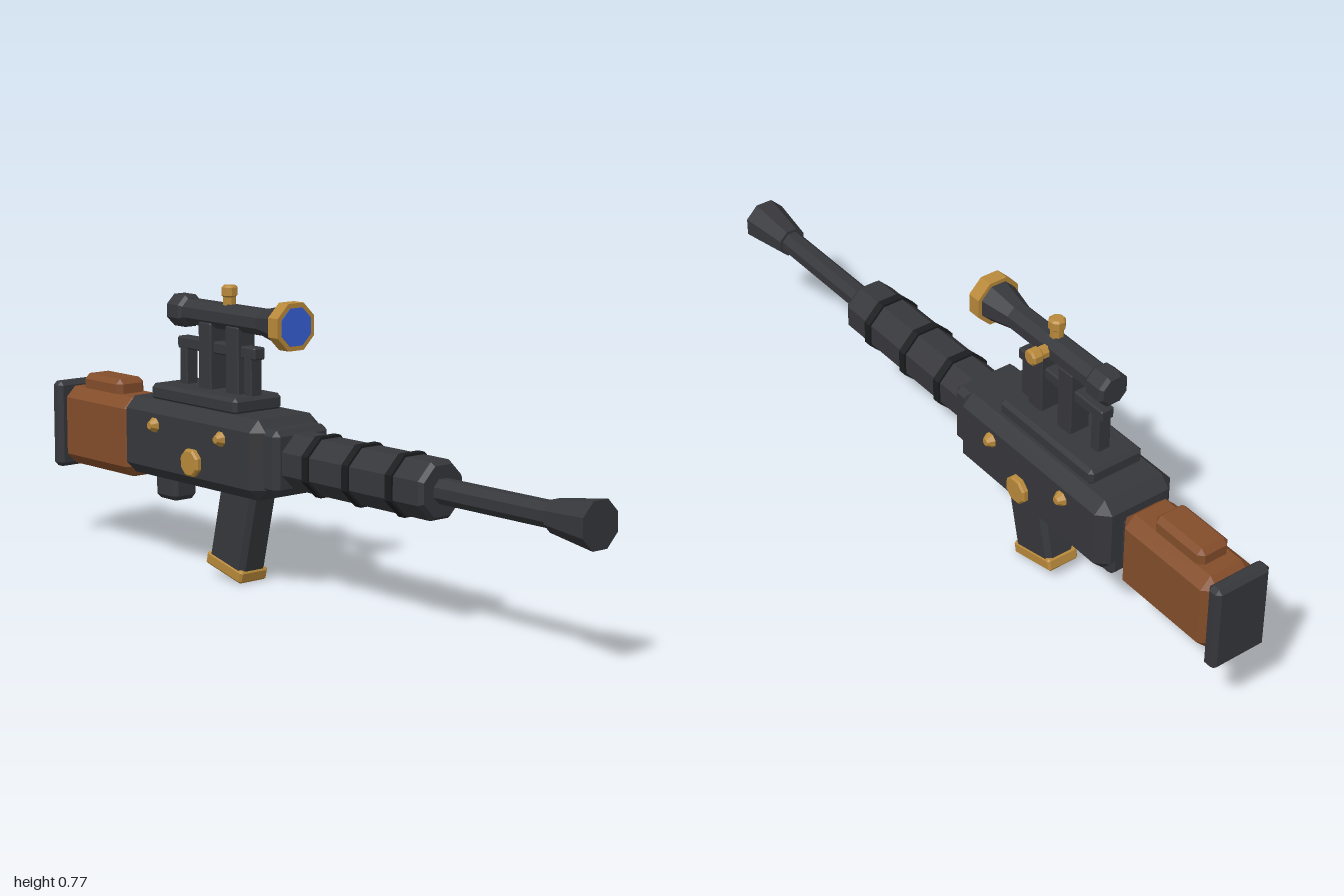
import * as THREE from 'three';
import { ConvexGeometry } from 'three/addons/geometries/ConvexGeometry.js';

const paint = (color) => new THREE.MeshStandardMaterial({ color, flatShading: true });

export function createModel() {
  const model = new THREE.Group();
  const steel = paint(0x36373b), black = paint(0x1b1c1e), brass = paint(0xb8893a);
  const wood = paint(0x834d2a), glass = paint(0x3860d8);

  const add = (name, geometry, material, parent = model) => {
    const mesh = new THREE.Mesh(geometry, material);
    mesh.name = name;
    parent.add(mesh);
    return mesh;
  };

  // Box with every edge chamfered by c, given half width and y, z ranges
  const block = (name, hx, y0, y1, z0, z1, c, material, parent) => {
    const hy = (y1 - y0) / 2, hz = (z1 - z0) / 2, points = [];
    for (const sx of [-1, 1]) for (const sy of [-1, 1]) for (const sz of [-1, 1]) {
      points.push(
        new THREE.Vector3(sx * hx, sy * (hy - c), sz * (hz - c)),
        new THREE.Vector3(sx * (hx - c), sy * hy, sz * (hz - c)),
        new THREE.Vector3(sx * (hx - c), sy * (hy - c), sz * hz));
    }
    const mesh = add(name, new ConvexGeometry(points), material, parent);
    mesh.position.set(0, (y0 + y1) / 2, (z0 + z1) / 2);
    return mesh;
  };

  // Octagonal solid along y from [apothem, height] rings, flats square to the axes
  const octagon = (rings) => {
    const k = 1 / Math.cos(Math.PI / 8);
    const profile = rings.map(([r, h]) => new THREE.Vector2(r * k, h));
    profile.unshift(new THREE.Vector2(0, rings[0][1]));
    profile.push(new THREE.Vector2(0, rings[rings.length - 1][1]));
    return new THREE.LatheGeometry(profile, 8, Math.PI / 8);
  };
  // The same solid laid along z at height y; rings run from back to front
  const alongZ = (name, y, rings, material) => {
    const mesh = add(name, octagon(rings).rotateX(Math.PI / 2), material);
    mesh.position.y = y;
    return mesh;
  };

  // Receiver and front collar
  block('receiver', 0.115, 0.248, 0.455, -0.63, -0.055, 0.03, steel);
  block('frontCollar', 0.09, 0.27, 0.435, -0.12, -0.01, 0.015, steel);
  block('rearLug', 0.04, 0.175, 0.27, -0.58, -0.49, 0.013, steel);

  // Barrel, shroud with bands, flared muzzle
  const axis = 0.352;
  alongZ('barrelShroud', axis, [[0.071, -0.05], [0.071, 0.485], [0.062, 0.497]], steel);
  for (const z of [0.083, 0.232, 0.388]) {
    alongZ('shroudBand', axis, [[0.077, z - 0.011], [0.077, z + 0.011]], black);
  }
  alongZ('barrel', axis, [[0.03, 0.45], [0.03, 0.88]], steel);
  alongZ('muzzle', axis, [[0.038, 0.862], [0.057, 1]], steel);

  // Stock
  block('stockNeck', 0.05, 0.26, 0.4, -0.67, -0.6, 0.01, steel);
  block('stock', 0.075, 0.22, 0.437, -0.96, -0.635, 0.029, wood);
  block('cheekRest', 0.046, 0.42, 0.477, -0.895, -0.725, 0.014, wood);
  block('buttPlate', 0.08, 0.207, 0.447, -0.997, -0.955, 0.011, steel);

  // Raked magazine with its base plate
  const magazine = new THREE.Group();
  magazine.name = 'magazine';
  magazine.position.set(0, 0.25, -0.2275);
  magazine.rotation.x = 0.234;
  model.add(magazine);
  block('magazineBody', 0.043, -0.225, 0.04, -0.07, 0.07, 0.013, steel, magazine);
  block('magazineBase', 0.046, -0.239, -0.204, -0.074, 0.074, 0.006, brass, magazine);

  // Scope mount
  block('mountBase', 0.08, 0.45, 0.495, -0.54, -0.185, 0.01, steel);
  for (const z of [-0.26, -0.372]) {
    block('scopePost', 0.03, 0.48, 0.67, z - 0.026, z + 0.026, 0.004, steel);
  }
  for (const z of [-0.209, -0.475]) {
    block('railPost', 0.019, 0.48, 0.6, z - 0.015, z + 0.015, 0.003, steel);
  }
  block('rail', 0.019, 0.588, 0.62, -0.5, -0.18, 0.004, steel);

  // Scope
  const sight = 0.688;
  alongZ('scopeTube', sight, [[0.033, -0.5], [0.033, -0.14]], steel);
  alongZ('scopeEyepiece', sight,
    [[0.034, -0.522], [0.042, -0.513], [0.042, -0.467], [0.034, -0.457]], steel);
  alongZ('scopeBell', sight, [[0.033, -0.155], [0.052, -0.065]], steel);
  alongZ('scopeRing', sight, [[0.06, -0.075], [0.06, -0.038]], brass);
  alongZ('lens', sight, [[0.048, -0.045], [0.048, -0.036]], glass);
  const knob = [[0.016, 0.02], [0.016, 0.052], [0.02, 0.056], [0.02, 0.077], [0.015, 0.082]];
  const topKnob = add('topKnob', octagon(knob), brass);
  const sideKnob = add('sideKnob', octagon(knob).rotateZ(-Math.PI / 2), brass);
  for (const k of [topKnob, sideKnob]) k.position.set(0, sight, -0.303);

  // Brass studs and discs on both flanks
  for (const side of [1, -1]) {
    const flank = (name, y, z, rings) => {
      const mesh = add(name, octagon(rings).rotateZ(-side * Math.PI / 2), brass);
      mesh.position.set(side * 0.11, y, z);
    };
    for (const z of [-0.2, -0.477]) {
      flank('stud', 0.394, z, [[0.019, 0], [0.019, 0.006], [0.009, 0.023]]);
    }
    flank('disc', 0.317, -0.315, [[0.035, 0], [0.035, 0.016], [0.03, 0.021]]);
  }
  return model;
}
